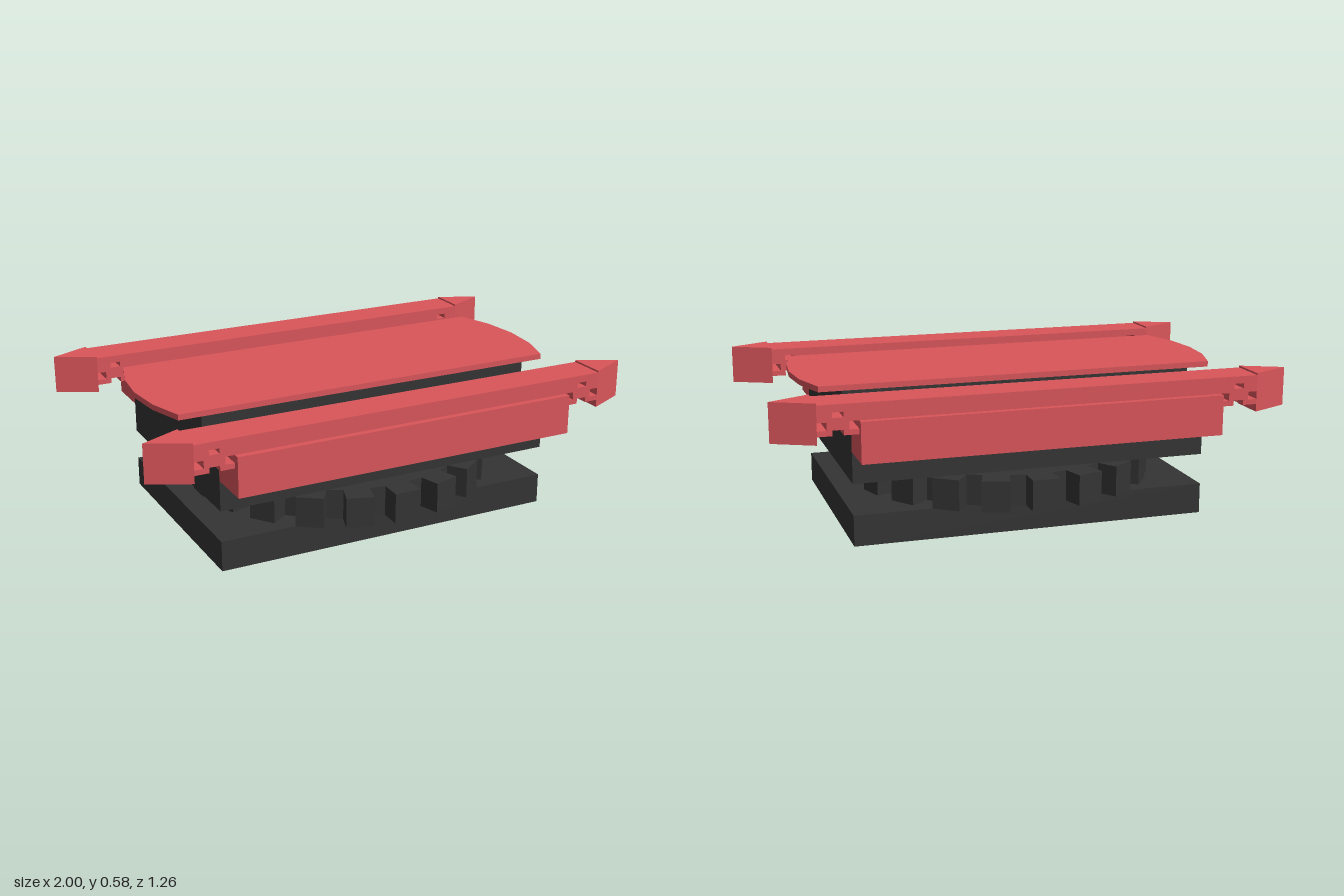
import * as THREE from 'three';

const dark = new THREE.MeshStandardMaterial({ color: 0x343434, flatShading: true });
const red = new THREE.MeshStandardMaterial({ color: 0xd9555a, flatShading: true });

function add(parent, name, geometry, material) {
  const mesh = new THREE.Mesh(geometry, material);
  mesh.name = name;
  parent.add(mesh);
  return mesh;
}

// Box given by half width, y range and z range
function slab(parent, name, hx, y0, y1, z0, z1, material) {
  const mesh = add(parent, name, new THREE.BoxGeometry(2 * hx, y1 - y0, z1 - z0), material);
  mesh.position.set(0, (y0 + y1) / 2, (z0 + z1) / 2);
}

const shapeOf = (points) => new THREE.Shape(points.map(([x, y]) => new THREE.Vector2(x, y)));

// Plan outline (x, z) raised from y0 to y1
function raise(points, y0, y1) {
  const geo = new THREE.ExtrudeGeometry(shapeOf(points), { depth: y1 - y0, bevelEnabled: false });
  return geo.rotateX(-Math.PI / 2).translate(0, y0, 0);
}

function rectHole(x0, x1, y0, y1) {
  return new THREE.Path([[x0, y0], [x0, y1], [x1, y1], [x1, y0]].map(([x, y]) => new THREE.Vector2(x, y)));
}

// Toothed ring between the base and the body
function gearOutline(teeth, root, tip) {
  const points = [];
  const pitch = (2 * Math.PI) / teeth;
  for (let i = 0; i < teeth; i++) {
    for (const [offset, r] of [[-0.31, root], [-0.28, tip], [0.28, tip], [0.31, root]]) {
      const a = (i + offset) * pitch;
      points.push([r * Math.cos(a), r * Math.sin(a)]);
    }
  }
  return points;
}

// Long rail with pierced ends and a wedge at each end
function createRail() {
  const rail = new THREE.Group();
  const zIn = 0.455, zOut = 0.605;

  const bar = shapeOf([
    [-0.845, 0.465], [-0.79, 0.465], [-0.79, 0.485], [-0.75, 0.485], [-0.75, 0.465],
    [0.75, 0.465], [0.75, 0.485], [0.79, 0.485], [0.79, 0.465], [0.845, 0.465],
    [0.845, 0.485], [0.81, 0.485], [0.81, 0.515], [0.845, 0.515], [0.845, 0.578],
    [-0.845, 0.578], [-0.845, 0.515], [-0.81, 0.515], [-0.81, 0.485], [-0.845, 0.485],
  ]);
  for (const s of [-1, 1]) {
    bar.holes.push(rectHole(s * 0.76 - 0.02 + s * 0.01, s * 0.76 + 0.02 + s * 0.01, 0.53, 0.55));
    bar.holes.push(rectHole(s * 0.71 - 0.02, s * 0.71 + 0.02, 0.485, 0.515));
  }
  const barGeo = new THREE.ExtrudeGeometry(bar, { depth: zOut - zIn, bevelEnabled: false });
  add(rail, 'railBar', barGeo.translate(0, 0, zIn), red);

  for (const s of [-1, 1]) {
    const wedge = [[s * 0.845, -zIn], [s * 0.845, -zOut], [s, -(zIn + zOut) / 2]];
    add(rail, s > 0 ? 'leftWedge' : 'rightWedge', raise(wedge, 0.435, 0.585), red);
  }
  slab(rail, 'railMount', 0.695, 0.36, 0.515, 0.453, 0.63, red);
  return rail;
}

export function createModel() {
  const model = new THREE.Group();
  model.name = 'turntablePlatform';

  // Base, gear ring and stepped body
  slab(model, 'base', 0.695, 0, 0.119, -0.455, 0.455, dark);
  add(model, 'gearRing', raise(gearOutline(20, 0.52, 0.605), 0.119, 0.238), dark);
  slab(model, 'body', 0.695, 0.24, 0.48, -0.455, 0.455, dark);
  slab(model, 'upperBody', 0.695, 0.48, 0.555, -0.3, 0.3, dark);

  // Top plate with bowed ends
  const end = [[0.785, -0.302], [0.83, -0.155], [0.845, 0], [0.83, 0.155], [0.785, 0.302]];
  const plate = [...end, ...end.map(([x, z]) => [-x, -z])];
  add(model, 'topPlate', raise(plate, 0.555, 0.577), red);

  // Matching rails at front and back
  for (const name of ['frontRail', 'backRail']) {
    const rail = createRail();
    rail.name = name;
    if (name === 'backRail') rail.rotation.y = Math.PI;
    model.add(rail);
  }
  return model;
}
